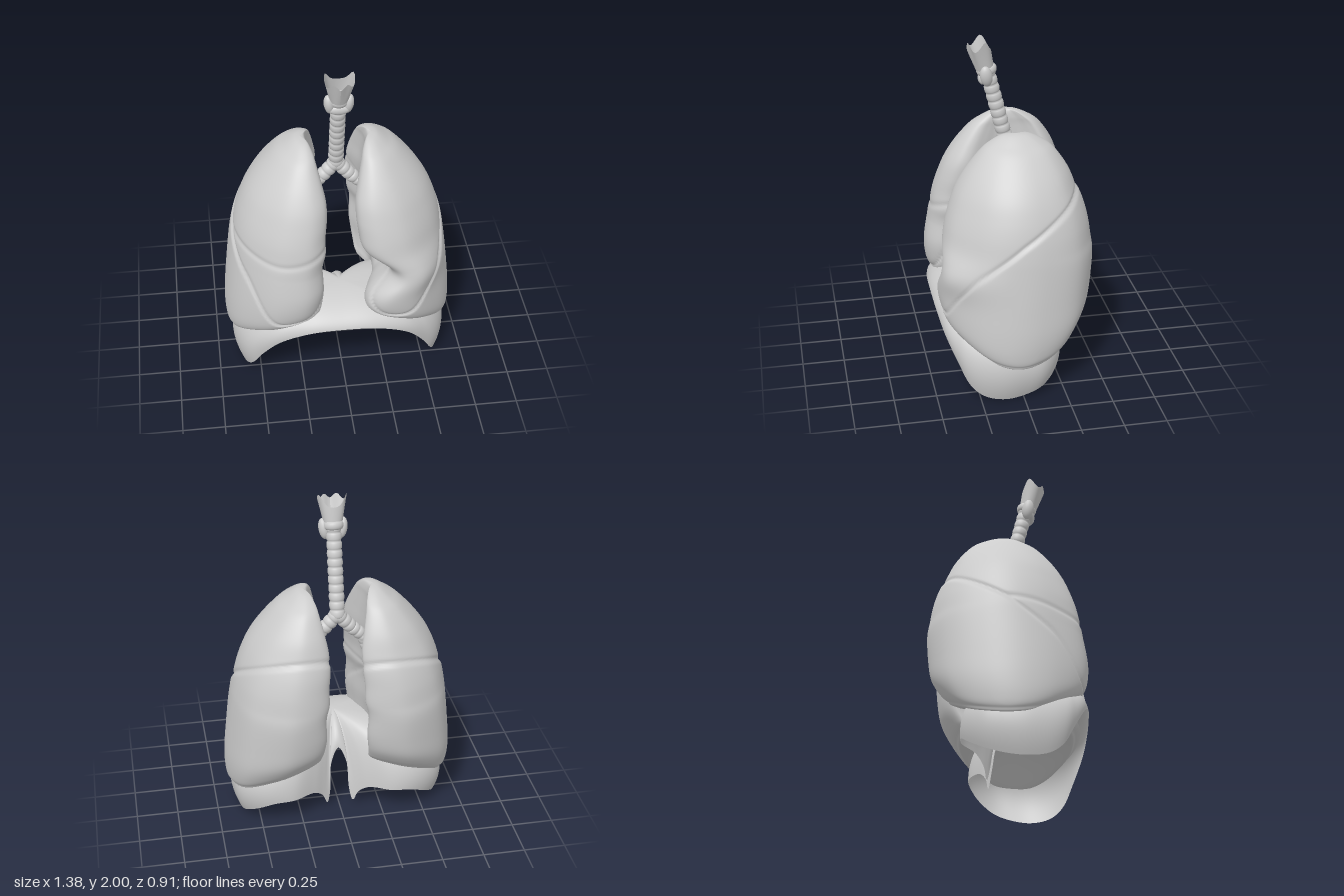
import * as THREE from 'three';

const tissue = new THREE.MeshStandardMaterial({ color: 0xcccccc, side: THREE.DoubleSide });
tissue.name = 'pale grey';
const V = (x, y, z) => new THREE.Vector3(x, y, z);
const smooth = THREE.MathUtils.smoothstep;
const bell = (d, w) => Math.exp(-((d / w) ** 2));

function add(parent, geometry, name) {
  const mesh = new THREE.Mesh(geometry, tissue);
  mesh.name = name;
  parent.add(mesh);
  return mesh;
}

// Closed rings of points joined into a surface, sorted into one mesh per named region
function skin(parent, rows, cols, point, flip, region) {
  const pos = [], names = [], faces = {}, all = [];
  for (let i = 0; i <= rows; i++) for (let j = 0; j < cols; j++) {
    const p = point(i / rows, j / cols);
    pos.push(p.x, p.y, p.z);
    names.push(region(p));
  }
  for (let i = 0; i < rows; i++) for (let j = 0; j < cols; j++) {
    const a = i * cols + j, c = i * cols + (j + 1) % cols, b = a + cols, d = c + cols;
    const quad = flip ? [a, c, b, c, d, b] : [a, b, c, c, b, d];
    all.push(...quad);
    (faces[names[a]] ??= []).push(...quad);
  }
  const whole = new THREE.BufferGeometry();
  whole.setAttribute('position', new THREE.Float32BufferAttribute(pos, 3));
  whole.setIndex(all);
  whole.computeVertexNormals();
  for (const name in faces) {
    const g = new THREE.BufferGeometry();
    g.setAttribute('position', whole.attributes.position);
    g.setAttribute('normal', whole.attributes.normal);
    g.setIndex(faces[name]);
    add(parent, g, name);
  }
}

// Lung plan outline: u runs medial to lateral, v runs back to front
const bean = new THREE.CatmullRomCurve3([
  [0, .68], [.04, .86], [.2, .99], [.5, .95], [.83, .6], [.98, .2], [.98, -.25], [.8, -.75],
  [.42, -1], [.13, -.93], [.02, -.8], [.06, -.65], [.15, -.4], [.17, -.1], [.13, .2], [.05, .45],
].map(([u, v]) => V(u, 0, v)), true);
const outline = bean.getSpacedPoints(150);

// Lung levels: height, medial x, lateral x, front z, back z
const levels = [
  [1.5, .205, .205, -.03, -.03], [1.49, .17, .245, .05, -.11], [1.45, .145, .305, .125, -.19],
  [1.4, .13, .37, .185, -.25], [1.3, .105, .46, .265, -.32], [1.2, .085, .53, .325, -.365],
  [1.1, .085, .578, .365, -.405], [1, .095, .612, .395, -.43], [.9, .095, .635, .415, -.445],
  [.8, .115, .65, .43, -.455], [.6, .11, .675, .452, -.445], [.45, .12, .69, .45, -.425],
  [.34, .13, .69, .43, -.38], [.27, .14, .675, .385, -.33], [.24, .18, .63, .32, -.27],
  [.32, .4, .4, 0, 0],
];
const tracks = [1, 2, 3, 4].map(k => new THREE.SplineCurve(levels.map(l => new THREE.Vector2(l[0], l[k]))));

function lung(parent, side) {
  const group = new THREE.Group();
  group.name = side > 0 ? 'leftLung' : 'rightLung';
  parent.add(group);
  // Signed height above the oblique and horizontal fissures
  const oblique = p => p.y - ((side > 0 ? .97 : .93) - (p.z > 0 ? .75 : .58) * p.z - 5 * Math.max(0, p.z - .25) ** 2);
  const horizontal = p => p.y - (.88 + (Math.abs(p.x) - .38) ** 2 * .8);

  const point = (s, t) => {
    const at = tracks.map(c => c.getPoint(s));
    const [xm, xl, zf, zb] = at.map(q => q.y);
    const o = outline[Math.round(t * 150)];
    let x = xm + o.x * (xl - xm), y = at[0].x;
    const z = (zf + zb) / 2 + o.z * (zf - zb) / 2;
    // Hollow base resting on the dome
    const base = .21 + .24 * (1 - Math.min(1, x / .68) ** 2);
    if (y < .8) y = .8 - (.8 - y) * (.8 - base) / .56;
    // Heart notch in the front inner edge of the left lung
    if (side > 0) x += .165 * bell(y - .75, .12) * (1 - o.x) * smooth(z, -.05, .12);
    // Grooves between lobes
    const p = V(side * x, y, z), d = oblique(p);
    let inset = .011 * bell(d, .016) + .007 * smooth(d, -.02, .02) * Math.exp(-Math.max(d, 0) / .15);
    if (side < 0) inset += .007 * bell(horizontal(p), .016) * smooth(d, 0, .03);
    const cx = side * (xm + xl) / 2, cz = (zf + zb) / 2;
    const k = inset / Math.max(.15, Math.hypot(p.x - cx, z - cz));
    p.x += (cx - p.x) * k;
    p.z += (cz - p.z) * k;
    return p;
  };
  skin(group, 130, 150, point, side < 0, p => {
    if (oblique(p) < 0) return 'lowerLobe';
    return side < 0 && horizontal(p) < 0 ? 'middleLobe' : 'upperLobe';
  });
}

// Diaphragm: a dome falling from a flat top to a rim with two hanging tails at the back
function diaphragm(parent) {
  const half = [
    [.2, .405, .45], [.38, .335, .425], [.49, .2, .365], [.55, .08, .305], [.585, .02, .23], [.61, 0, .12],
    [.61, .012, .01], [.59, .05, -.11], [.52, .11, -.2], [.42, .165, -.25], [.3, .175, -.25], [.17, .165, -.18],
    [.11, .11, -.14], [.08, .04, -.125], [.058, .13, -.105], [.048, .3, -.08],
  ];
  const rim = new THREE.CatmullRomCurve3([
    V(0, .42, .455), ...half.map(p => V(...p)), V(0, .4, -.06),
    ...half.slice().reverse().map(([x, y, z]) => V(-x, y, z)),
  ], true);
  const edge = rim.getSpacedPoints(240);
  const top = .56, cz = .15;
  skin(parent, 36, 240, (s, t) => {
    const e = edge[Math.round(t * 240)], a = s * Math.PI / 2;
    const bulge = -.06 + .26 * (e.x / .61) ** 2;
    const r = Math.sin(a) + bulge * Math.sin(2 * a);
    return V(e.x * r, e.y + (top - e.y) * Math.cos(a), cz + (e.z - cz) * r);
  }, false, () => 'diaphragm');
}

// Ringed airway between two points
function airway(parent, name, a, b, rings, r0, r1) {
  const length = a.distanceTo(b), profile = [], steps = rings * 8;
  for (let i = 0; i <= steps; i++) {
    const t = i / steps, r = THREE.MathUtils.lerp(r0, r1, t);
    profile.push(new THREE.Vector2(r * (.84 + .16 * Math.sqrt(Math.abs(Math.sin(t * rings * Math.PI)))), t * length));
  }
  const mesh = add(parent, new THREE.LatheGeometry(profile, 28), name);
  mesh.position.copy(a);
  mesh.quaternion.setFromUnitVectors(V(0, 1, 0), b.clone().sub(a).normalize());
}

function larynx(parent) {
  const group = new THREE.Group();
  group.name = 'larynx';
  parent.add(group);
  // Flaring shield with raised rear horns, low front peaks and a front notch
  const shield = new THREE.CylinderGeometry(.076, .052, .12, 48, 10, true);
  const p = shield.attributes.position;
  for (let i = 0; i < p.count; i++) {
    const x = p.getX(i), y = p.getY(i), z = p.getZ(i), t = (y + .06) / .12;
    const a = Math.abs(Math.atan2(x, z));
    const rise = .065 * bell(a - 1.9, .55) + .035 * bell(a - .5, .35);
    p.setXYZ(i, x * (1 + .12 * t * Math.sin(a) ** 2), y + t * rise, z * (1 - .1 * t) + .035 * t);
  }
  shield.computeVertexNormals();
  add(group, shield, 'thyroidCartilage').position.set(0, 1.875, .112);
  // Ring below the shield
  const ring = add(group, new THREE.TorusGeometry(.043, .017, 12, 32), 'cricoidRing');
  ring.position.set(0, 1.82, .105);
  ring.rotation.x = Math.PI / 2 + .24;
  ring.scale.z = 1.5;
  // Gland lobes and their bridge
  for (const s of [-1, 1]) {
    const lobe = add(group, new THREE.SphereGeometry(1, 24, 16), 'glandLobe');
    lobe.scale.set(.03, .063, .036);
    lobe.position.set(s * .054, 1.795, .115);
    lobe.rotation.set(.15, 0, -s * .15);
  }
  const bridge = add(group, new THREE.SphereGeometry(1, 24, 16), 'glandBridge');
  bridge.scale.set(.06, .03, .022);
  bridge.position.set(0, 1.765, .132);
}

export function createModel() {
  const model = new THREE.Group();
  model.name = 'respiratorySystem';
  for (const side of [1, -1]) {
    lung(model, side);
    const fork = V(0, 1.31, -.025), bend = V(side * .085, 1.215, -.02), hilum = V(side * .2, 1.11, -.02);
    airway(model, 'bronchus', fork, bend, 3, .044, .042);
    airway(model, 'bronchus', bend, hilum, 4, .042, .036);
    airway(model, 'bronchusBranch', V(side * .15, 1.15, -.02), V(side * .19, .98, -.03), 4, .034, .018);
  }
  airway(model, 'trachea', V(0, 1.29, -.03), V(0, 1.83, .105), 11, .046, .045);
  larynx(model);
  diaphragm(model);
  return model;
}
